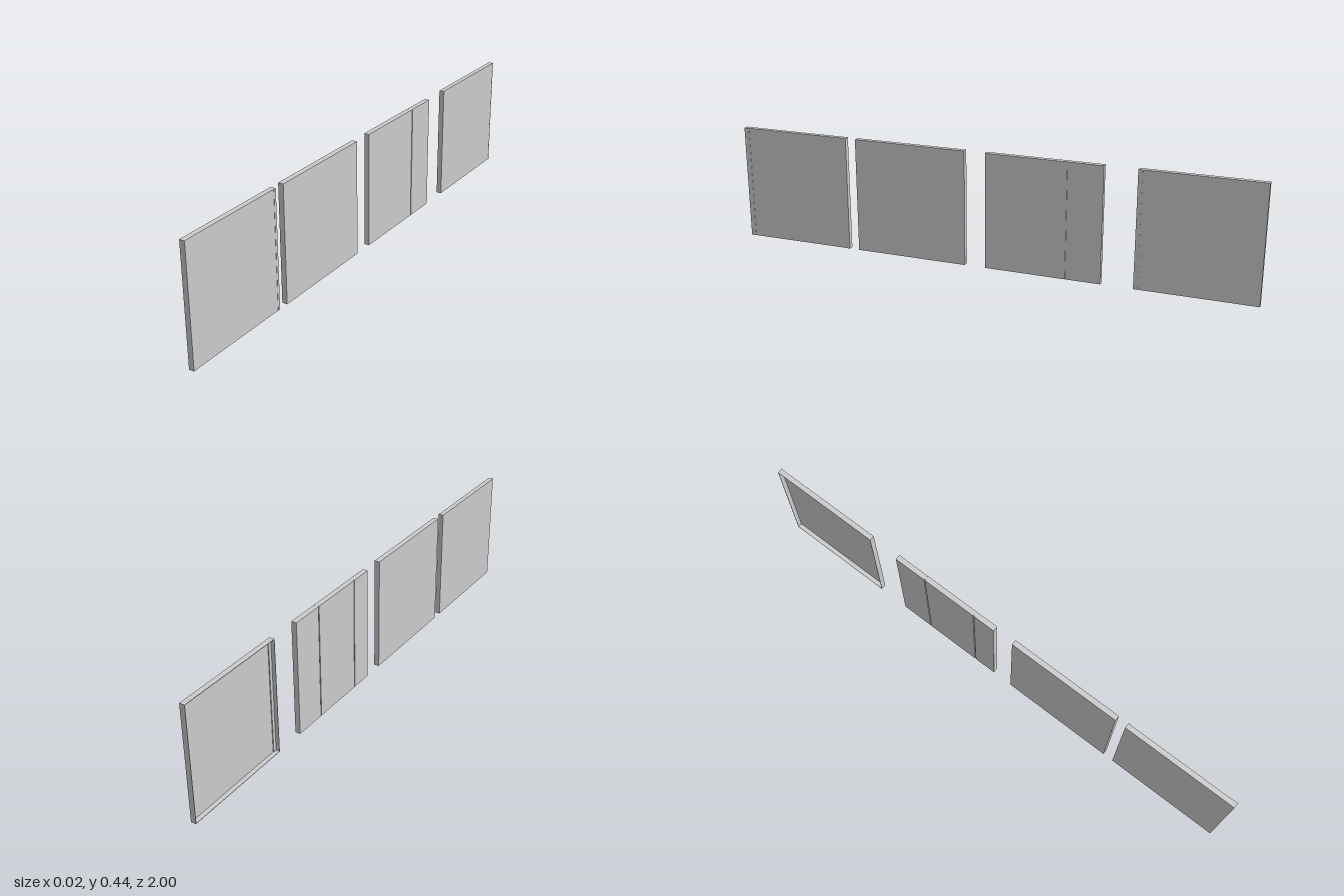
import * as THREE from 'three';

const H = 0.44; // panel height and width
const T = 0.02; // panel thickness

export function createModel() {
  const root = new THREE.Group();
  const material = new THREE.MeshStandardMaterial({ color: 0xcccccc, flatShading: true });

  // Box given by its x and z ranges, and optionally its y range
  function slab(parent, name, x0, x1, z0, z1, y0 = 0, y1 = H) {
    const mesh = new THREE.Mesh(new THREE.BoxGeometry(x1 - x0, y1 - y0, z1 - z0), material);
    mesh.position.set((x0 + x1) / 2, (y0 + y1) / 2, (z0 + z1) / 2);
    mesh.name = name;
    parent.add(mesh);
  }

  function panel(name) {
    const group = new THREE.Group();
    group.name = name;
    root.add(group);
    return group;
  }

  const h = T / 2;

  // Front panel with an end post and a thin edge trim
  const front = panel('frontPanel');
  slab(front, 'endPost', -h, h, 0.98, 1);
  slab(front, 'board', -h, h - 0.001, 0.57, 0.98);
  slab(front, 'edgeTrim', -h, h, 0.56, 0.57);

  // Plain panel
  slab(panel('plainPanel'), 'board', -h, h, 0.08, 0.52);

  // Panel divided by shallow vertical seams: one on +x, two on -x
  const seamed = panel('seamedPanel');
  const seam = 0.002;
  slab(seamed, 'core', -h + 0.003, h - 0.003, -0.44, 0);
  for (const [z0, z1] of [[-0.44, -0.31 - seam], [-0.31 + seam, -0.09 - seam], [-0.09 + seam, 0]])
    slab(seamed, 'leftoverFacing', -h, -h + 0.003, z0, z1);
  for (const [z0, z1] of [[-0.44, -0.31 - seam], [-0.31 + seam, 0]])
    slab(seamed, 'outerFacing', h - 0.003, h, z0, z1);

  // Rear panel: a shallow tray open towards -x
  const tray = panel('trayPanel');
  const w = 0.002;
  slab(tray, 'trayBase', h - 0.003, h - 0.0005, -1, -0.56);
  slab(tray, 'rearWall', -h, h, -1, -1 + w);
  slab(tray, 'frontWall', -h, h, -0.56 - w, -0.56);
  slab(tray, 'bottomWall', -h, h - 0.0005, -1, -0.56, 0, w);
  slab(tray, 'topWall', -h, h - 0.0005, -1, -0.56, H - w, H);
  slab(tray, 'frontStrip', h - 0.006, h, -0.575, -0.56);

  return root;
}
